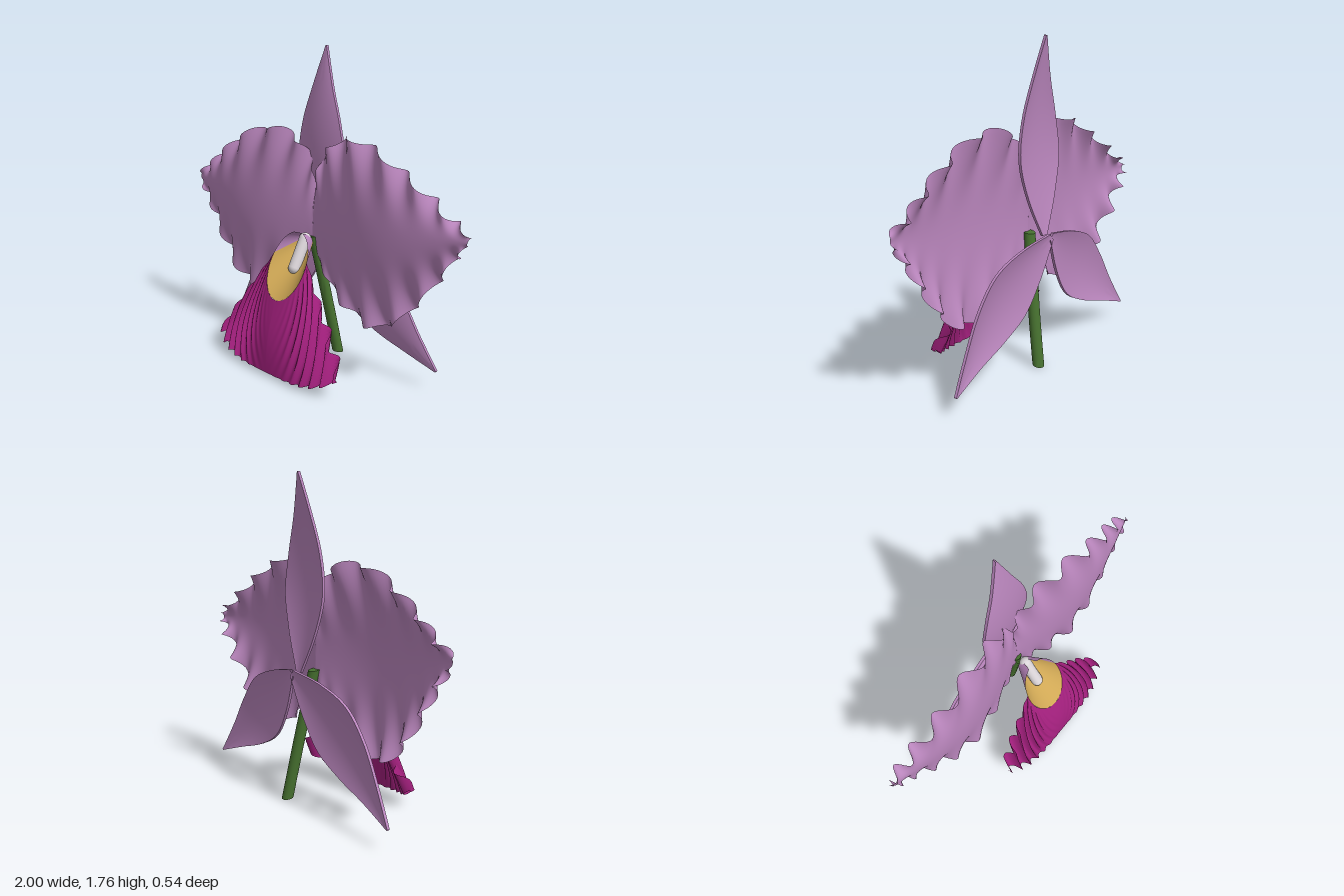
import * as THREE from 'three';
import { toCreasedNormals } from 'three/addons/utils/BufferGeometryUtils.js';

const mat = (name, color) => {
  const m = new THREE.MeshStandardMaterial({ color, side: THREE.DoubleSide });
  m.name = name;
  return m;
};
const V = (x, y, z) => new THREE.Vector3(x, y, z);
const spline = pts => new THREE.CatmullRomCurve3(pts.map(p => V(p[0], p[1], 0)));

// Surface from fn(u, v) -> Vector3; a thickness adds a back face and rim
function sheet(fn, nu, nv, thick = 0) {
  const pos = [], idx = [];
  const cols = thick ? 2 * nv + 3 : nv + 1;
  for (let i = 0; i <= nu; i++) {
    for (let j = 0; j < cols; j++) {
      const back = j > nv && j < 2 * nv + 2;
      const v = j <= nv ? j / nv : back ? (2 * nv + 1 - j) / nv : 0;
      const p = fn(i / nu, v);
      pos.push(p.x, p.y, p.z - (back ? thick : 0));
    }
  }
  for (let i = 0; i < nu; i++) {
    for (let j = 0; j < cols - 1; j++) {
      const a = i * cols + j, b = a + 1, c = b + cols, d = a + cols;
      idx.push(a, b, c, a, c, d);
    }
  }
  const g = new THREE.BufferGeometry();
  g.setAttribute('position', new THREE.Float32BufferAttribute(pos, 3));
  g.setIndex(idx);
  g.computeVertexNormals();
  return thick ? toCreasedNormals(g, 0.9) : g;
}

// Lance-shaped sepal from a base point to a tip in the same z plane
const sepalWidth = spline([[0, 0.02], [0.2, 0.115], [0.4, 0.168], [0.6, 0.138], [0.8, 0.07], [1, 0.003]]);
function sepalGeometry(base, dx, dy, wide, bow) {
  const len = Math.hypot(dx, dy);
  const g = sheet((u, v) => {
    const a = 2 * v - 1;
    const w = sepalWidth.getPoint(u).y * wide;
    return V(a * w, len * u, bow * Math.sin(Math.PI * u) - a * a * w * 0.15);
  }, 32, 12, 0.016);
  return g.rotateZ(Math.atan2(-dx, dy)).translate(...base);
}

// Broad ruffled petal, side = +1 or -1
const petalTop = spline([[0, 0.8], [0, 1.02], [0.04, 1.16], [0.15, 1.265], [0.31, 1.305], [0.5, 1.25],
  [0.66, 1.16], [0.8, 1.07], [0.9, 0.99], [1, 0.94]]);
const petalBottom = spline([[0, 0.68], [0.07, 0.56], [0.18, 0.44], [0.33, 0.355], [0.5, 0.33], [0.64, 0.42],
  [0.76, 0.56], [0.86, 0.7], [0.93, 0.81], [0.98, 0.87]]);
function petalGeometry(side) {
  return sheet((u, v) => {
    const a = -side * (2 * v - 1);
    const p = petalBottom.getPoint(u).lerp(petalTop.getPoint(u), (a + 1) / 2);
    const edge = Math.abs(a) ** 3 * Math.min(1, u * 2.5);
    const phase = u * Math.PI * 2 * 7.5 + (a > 0 ? 0 : 1);
    const x = Math.min(1, Math.max(0, p.x));
    const z = -0.1 + 0.08 * Math.sin(Math.PI * x) - 0.055 * a * a * Math.sin(Math.PI * Math.min(1, u * 0.9))
      + 0.04 * edge * Math.sin(phase);
    return V(side * x, p.y + 0.014 * Math.sign(a) * edge * Math.cos(phase), z);
  }, 110, 30);
}

// Funnel of the lip: angle 0 is the bottom, PI the top
const rim = a => V(0.13 * Math.sin(a), 0.595 - 0.175 * Math.cos(a), 0.1 + 0.09 * Math.cos(a));
const funnel = (from, to) => sheet((u, v) => {
  const a = from + (to - from) * v;
  return V(0.04 * Math.sin(a), 0.7 - 0.04 * Math.cos(a), -0.06).lerp(rim(a), u);
}, 12, 24);

// Pleated skirt of the lip, smooth in the middle and ruffled at the sides
const FLARE = 1.83;
const skirtGeometry = () => sheet((u, v) => {
  const f = 2 * v - 1, m = Math.abs(f);
  const p = rim(f * FLARE).lerp(V(0.46 * f, 0.02 + 0.09 * m ** 4, 0.27 - 0.1 * m ** 4), u);
  const amp = m * m * Math.min(1, u * 1.6);
  const phase = 46 * m + 26 * u;
  p.x += Math.sign(f) * 0.012 * amp * Math.cos(phase);
  p.y += 0.015 * amp * u * Math.cos(phase);
  p.z += 0.04 * amp * Math.sin(phase) + 0.02 * Math.sin(Math.PI * u) * (1 - m);
  return p;
}, 48, 170);

// Stem: a capped cylinder bent along a curve
function stemGeometry() {
  const curve = new THREE.QuadraticBezierCurve3(V(0.08, 0.005, -0.235), V(0.05, 0.36, -0.17), V(0, 0.72, -0.11));
  const g = new THREE.CylinderGeometry(0.032, 0.032, 1, 18, 14);
  const p = g.attributes.position;
  for (let i = 0; i < p.count; i++) {
    const c = curve.getPoint(p.getY(i) + 0.5);
    p.setXYZ(i, c.x + p.getX(i), c.y + p.getZ(i) * 0.15, c.z + p.getZ(i));
  }
  return toCreasedNormals(g, 0.8);
}

export function createModel() {
  const mauve = mat('mauve petal', 0xba86bd);
  const magenta = mat('magenta lip', 0xa5207f);
  const yellow = mat('yellow throat', 0xd0a855);
  const green = mat('green stem', 0x46702f);
  const pale = mat('pale column', 0xdcd6da);

  const flower = new THREE.Group();
  flower.name = 'orchid';
  const add = (name, geometry, material) => {
    const mesh = new THREE.Mesh(geometry, material);
    mesh.name = name;
    flower.add(mesh);
    return mesh;
  };

  // Three sepals behind
  add('dorsalSepal', sepalGeometry([0, 0.72, -0.195], 0, 1.04, 1, 0.06), mauve);
  for (const s of [1, -1]) {
    const side = s > 0 ? 'left' : 'right';
    add(side + 'Sepal', sepalGeometry([0, 0.72, -0.24], s * 0.76, -0.61, 1.08, 0.055), mauve);
    add(side + 'Petal', petalGeometry(s), mauve);
    add(side + 'Hood', funnel(s * FLARE, s * 2.9), mauve);
  }

  // Lip
  add('throat', funnel(-FLARE, FLARE), yellow);
  add('lipSkirt', skirtGeometry(), magenta);

  // Column, leaning forward and down inside the throat
  const top = V(0, 0.72, -0.04), tip = V(0, 0.57, 0.045);
  const column = add('column', new THREE.CapsuleGeometry(0.034, top.distanceTo(tip), 6, 16), pale);
  column.position.copy(top).add(tip).multiplyScalar(0.5);
  column.quaternion.setFromUnitVectors(V(0, 1, 0), top.clone().sub(tip).normalize());

  add('stem', stemGeometry(), green);
  return flower;
}
